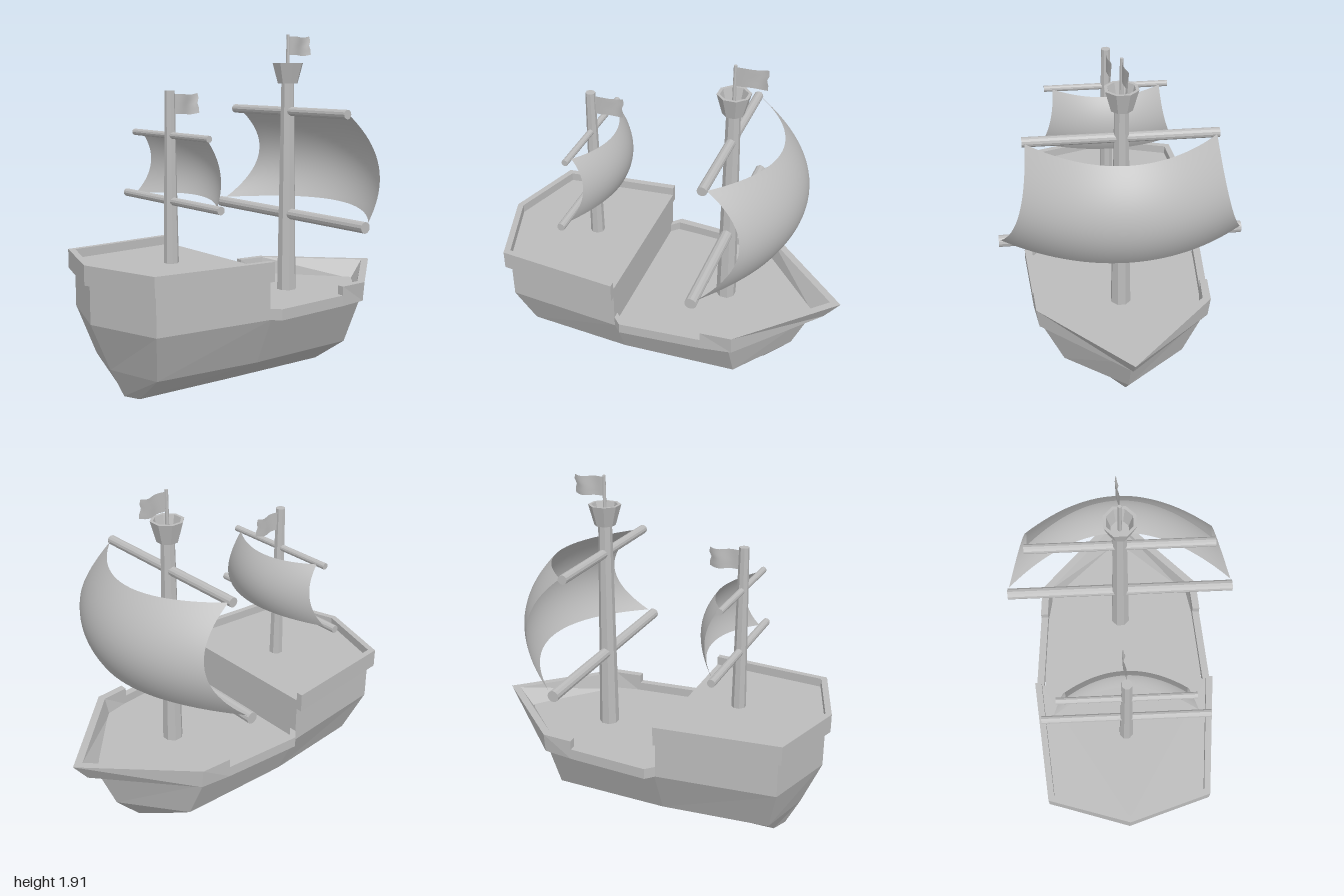
import * as THREE from 'three';

const grey = new THREE.MeshStandardMaterial({ color: 0xbcbcbc, side: THREE.DoubleSide });
grey.name = 'plain grey';

function add(parent, name, geometry) {
  const mesh = new THREE.Mesh(geometry, grey);
  mesh.name = name;
  parent.add(mesh);
  return mesh;
}

// Facet a geometry so every face has its own normal
function flat(geometry) {
  const g = geometry.index ? geometry.toNonIndexed() : geometry;
  g.computeVertexNormals();
  return g;
}

// Closed faceted solid through rings of equal length, capped at both ends
function loft(rings) {
  const pos = [], n = rings[0].length;
  const tri = (a, b, c) => pos.push(...a, ...b, ...c);
  for (let r = 0; r + 1 < rings.length; r++) {
    for (let i = 0; i < n; i++) {
      const j = (i + 1) % n, a = rings[r], b = rings[r + 1];
      tri(a[i], a[j], b[j]);
      tri(a[i], b[j], b[i]);
    }
  }
  const first = rings[0], last = rings[rings.length - 1];
  for (let i = 1; i + 1 < n; i++) {
    tri(first[0], first[i + 1], first[i]);
    tri(last[0], last[i], last[i + 1]);
  }
  const g = new THREE.BufferGeometry();
  g.setAttribute('position', new THREE.Float32BufferAttribute(pos, 3));
  g.computeVertexNormals();
  return g;
}

// Horizontal outline at height y, half given as [x, z] from stern to bow
function outline(y, half) {
  const right = half.map(([x, z]) => [x, y, z]);
  const left = half.filter(([x]) => x > 0).reverse().map(([x, z]) => [-x, y, z]);
  return [...right, ...left];
}

// Mirror a list of rail sections about x = 0; the last one lies on the centre line
function mirrorSections(sections) {
  const other = sections.slice(0, -1).reverse().map(s => s.map(([x, y, z]) => [-x, y, z]));
  return [...sections, ...other];
}

// Value at t of a parabola through a (t=0), m (t=0.5) and b (t=1)
const bow3 = ([a, m, b], t) =>
  a * (1 - t) * (1 - 2 * t) + m * 4 * t * (1 - t) + b * t * (2 * t - 1);

// Smooth sheet from a rule (u, v) -> [x, y, z]
function sheet(nu, nv, rule) {
  const g = new THREE.PlaneGeometry(1, 1, nu, nv), p = g.attributes.position;
  for (let i = 0; i < p.count; i++) {
    p.setXYZ(i, ...rule(p.getX(i) + 0.5, 0.5 - p.getY(i)));
  }
  g.computeVertexNormals();
  return g;
}

// Billowing sail: half width, edge z and centre z, each at top, middle and bottom
function sail(parent, s) {
  add(parent, 'sail', sheet(28, 20, (u, v) => {
    const k = 2 * u - 1, belly = 1 - k * k;
    const edge = bow3(s.edge, v), mid = bow3(s.centre, v);
    const y = s.top + (s.bottom - s.top) * v + belly * (s.lift * v - 0.01 * (1 - v));
    return [k * bow3(s.width, v), y, edge + (mid - edge) * belly];
  }));
}

function mast(parent, z, y0, y1, r0, r1) {
  const m = add(parent, 'mast', flat(new THREE.CylinderGeometry(r1, r0, y1 - y0, 8)));
  m.position.set(0, (y0 + y1) / 2, z);
  m.rotation.y = Math.PI / 8;
}

function yard(parent, y, z, r, halfLength) {
  const m = add(parent, 'yard', flat(new THREE.CylinderGeometry(r, r, halfLength * 2, 12)));
  m.rotation.z = Math.PI / 2;
  m.position.set(0, y, z);
}

// Small waving flag streaming towards the bow
function flag(parent, z, top, length, height) {
  add(parent, 'flag', sheet(12, 4, (u, v) => [
    0.014 * Math.sin(u * 6 + v) * u - 0.008 * u,
    top - height * v + 0.006 * Math.sin(u * 7) * u,
    z - length * u - 0.006 * Math.sin(v * 9) * u,
  ]));
}

export function createModel() {
  const ship = new THREE.Group();
  ship.name = 'sailingShip';

  // Hull with the main deck as its top face
  const sheer = [[0, 0.97], [0.42, 0.835], [0.48, 0.17], [0.455, -0.485], [0, -0.85]];
  add(ship, 'hull', loft([
    outline(0, [[0, 0.78], [0.09, 0.74], [0.095, 0.17], [0.09, -0.485], [0, -0.59]]),
    outline(0.16, [[0, 0.86], [0.315, 0.77], [0.36, 0.17], [0.335, -0.485], [0, -0.74]]),
    outline(0.42, sheer),
    outline(0.43, sheer),
  ]));

  // Raised stern cabin with the upper deck
  const cabin = [[0, 0.97], [0.42, 0.835], [0.48, 0.175], [0, 0.175]];
  add(ship, 'sternCabin', loft([outline(0.43, cabin), outline(0.685, cabin)]));

  // Stern rail: outer x, z and inner x, z
  const sternRail = [
    [0.515, 0.175, 0.478, 0.175], [0.45, 0.86, 0.418, 0.833], [0, 1, 0, 0.965],
  ].map(([ox, oz, ix, iz]) =>
    [[ox, 0.63, oz], [ox, 0.735, oz], [ix, 0.735, iz], [ix, 0.63, iz]]);
  add(ship, 'sternRail', loft(mirrorSections(sternRail)));

  // Main deck rail, stepping up and flaring out at the bow
  const side = (x, z, top, t = 0.042) =>
    [[-x, 0.42, z], [-x, top, z], [t - x, top, z], [t - x, 0.42, z]];
  const bowRail = [
    side(0.48, 0.175, 0.48), side(0.525, 0.13, 0.48),
    side(0.49, -0.33, 0.48), side(0.49, -0.33, 0.53),
    [[-0.465, 0.42, -0.505], [-0.478, 0.53, -0.505], [-0.435, 0.53, -0.49], [-0.42, 0.42, -0.475]],
    [[0, 0.42, -0.915], [0, 0.53, -1], [0, 0.53, -0.94], [0, 0.42, -0.85]],
  ];
  add(ship, 'bowRail', loft(mirrorSections(bowRail)));

  // Main mast with two yards, sail, lookout and flag
  const main = new THREE.Group();
  main.name = 'mainMast';
  ship.add(main);
  mast(main, -0.33, 0.42, 1.65, 0.057, 0.038);
  yard(main, 0.88, -0.33, 0.032, 0.655);
  yard(main, 1.475, -0.33, 0.026, 0.505);
  sail(main, {
    top: 1.475, bottom: 0.905, lift: 0.03, width: [0.49, 0.535, 0.645],
    edge: [-0.35, -0.54, -0.36], centre: [-0.6, -0.745, -0.67],
  });
  const profile = [[0, 1.635], [0.059, 1.635], [0.091, 1.75], [0.074, 1.75], [0.05, 1.66], [0, 1.66]];
  const nest = add(main, 'lookout', flat(new THREE.LatheGeometry(
    profile.map(([x, y]) => new THREE.Vector2(x, y)), 8)));
  nest.position.z = -0.33;
  nest.rotation.y = Math.PI / 8;
  const pole = add(main, 'flagpole', flat(new THREE.CylinderGeometry(0.009, 0.011, 0.26, 8)));
  pole.position.set(0, 1.78, -0.33);
  flag(main, -0.335, 1.9, 0.165, 0.105);

  // Stern mast with two yards, sail and flag
  const aft = new THREE.Group();
  aft.name = 'sternMast';
  ship.add(aft);
  mast(aft, 0.475, 0.67, 1.605, 0.041, 0.027);
  yard(aft, 1.02, 0.475, 0.022, 0.46);
  yard(aft, 1.37, 0.475, 0.018, 0.36);
  sail(aft, {
    top: 1.37, bottom: 1.02, lift: 0.02, width: [0.31, 0.335, 0.395],
    edge: [0.46, 0.39, 0.455], centre: [0.35, 0.28, 0.315],
  });
  flag(aft, 0.455, 1.585, 0.165, 0.105);

  return ship;
}
